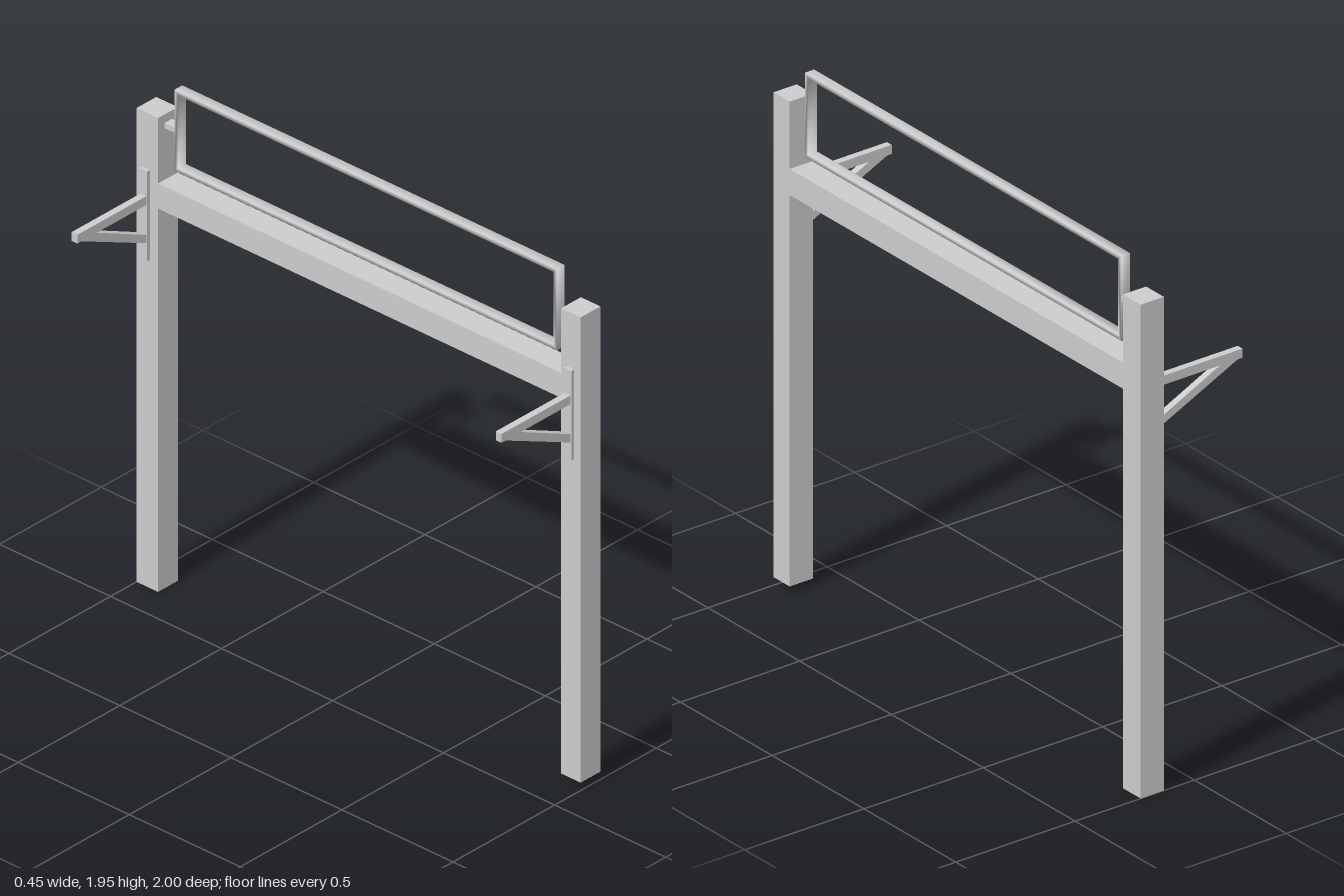
import * as THREE from 'three';
import { mergeVertices } from 'three/addons/utils/BufferGeometryUtils.js';

export function createModel() {
  const root = new THREE.Group();
  root.name = 'signStand';
  const grey = new THREE.MeshStandardMaterial({ color: 0xcccccc });
  grey.name = 'light grey';

  function add(parent, name, geometry) {
    const mesh = new THREE.Mesh(geometry, grey);
    mesh.name = name;
    parent.add(mesh);
    return mesh;
  }

  // Box given by its minimum and maximum on each axis
  function box(parent, name, [x0, x1], [y0, y1], [z0, z1]) {
    const mesh = add(parent, name, new THREE.BoxGeometry(x1 - x0, y1 - y0, z1 - z0));
    mesh.position.set((x0 + x1) / 2, (y0 + y1) / 2, (z0 + z1) / 2);
    return mesh;
  }

  const points = (list) => list.map(([x, y]) => new THREE.Vector2(x, y));

  // Posts and crossbeam
  const width = [0.128, 0.225];
  box(root, 'frontPost', width, [0.03, 1.83], [0.912, 1]);
  box(root, 'backPost', width, [0, 1.833], [-1, -0.903]);
  box(root, 'crossbeam', width, [1.483, 1.58], [-0.903, 0.912]);

  // Thin rectangular frame above the beam, with softened shading
  const [u0, u1, v0, v1, t] = [-0.865, 0.857, 1.634, 1.948, 0.016];
  const outline = new THREE.Shape(points([[u0, v0], [u1, v0], [u1, v1], [u0, v1]]));
  outline.holes.push(new THREE.Path(points([
    [u0 + t, v0 + t], [u0 + t, v1 - t], [u1 - t, v1 - t], [u1 - t, v0 + t],
  ])));
  let frame = new THREE.ExtrudeGeometry(outline, { depth: 0.038, bevelEnabled: false });
  frame.rotateY(Math.PI / 2);
  frame.translate(0.159, 0, 0);
  frame.deleteAttribute('normal');
  frame.deleteAttribute('uv');
  frame = mergeVertices(frame);
  frame.computeVertexNormals();
  add(root, 'signFrame', frame);

  // Lug joining the frame to the back post
  box(root, 'frameLug', [0.159, 0.197], [1.781, 1.8], [-0.903, -0.857]);

  // Triangular wall brackets, one on each post
  for (const [name, z] of [['frontBracket', 0.954], ['backBracket', -0.956]]) {
    const bracket = new THREE.Group();
    bracket.name = name;
    bracket.position.z = z;
    root.add(bracket);
    box(bracket, 'mountingPlate', [0.114, 0.128], [1.27, 1.617], [-0.017, 0.017]);
    box(bracket, 'arm', [-0.225, 0.114], [1.487, 1.521], [-0.013, 0.013]);
    const brace = new THREE.Shape(points([
      [-0.205, 1.487], [0.114, 1.339], [0.114, 1.371], [-0.13, 1.487],
    ]));
    const strut = new THREE.ExtrudeGeometry(brace, { depth: 0.026, bevelEnabled: false });
    add(bracket, 'brace', strut.translate(0, 0, -0.013));
  }
  return root;
}
